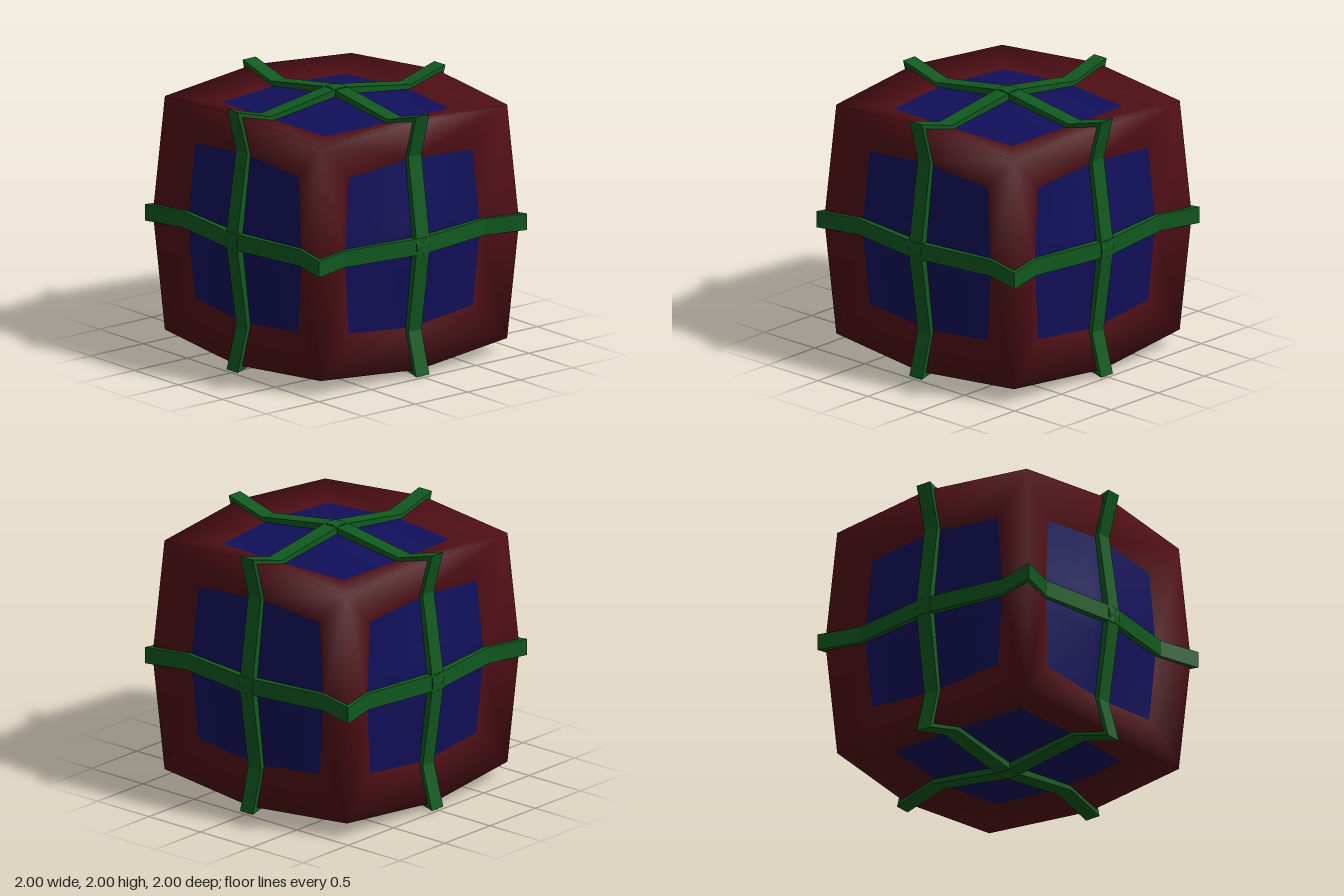
import * as THREE from 'three';
import { mergeGeometries, mergeVertices } from 'three/addons/utils/BufferGeometryUtils.js';

const HALF_PI = Math.PI / 2;

// Patch spanning four corners, bent along the a-c diagonal when n = 1
function patch(a, b, c, d, n) {
  const at = (u, v) => new THREE.Vector3()
    .addScaledVector(a, (1 - u) * (1 - v)).addScaledVector(b, u * (1 - v))
    .addScaledVector(c, u * v).addScaledVector(d, (1 - u) * v);
  const points = [];
  for (let i = 0; i < n; i++) {
    for (let j = 0; j < n; j++) {
      const [u, v, u2, v2] = [i / n, j / n, (i + 1) / n, (j + 1) / n];
      points.push(at(u, v), at(u2, v), at(u2, v2), at(u, v), at(u2, v2), at(u, v2));
    }
  }
  return new THREE.BufferGeometry().setFromPoints(points);
}

// Repeat patches over the four quadrants of a +z face
function fourfold(patches) {
  const all = [];
  for (let i = 0; i < 4; i++) {
    for (const p of patches) all.push(p.clone().rotateZ(i * HALF_PI));
  }
  return mergeGeometries(all);
}

// Repeat a +z face on all six sides and smooth the joins
function sixSides(face) {
  const sides = [];
  for (let i = 0; i < 4; i++) sides.push(face.clone().rotateY(i * HALF_PI));
  sides.push(face.clone().rotateX(HALF_PI), face.clone().rotateX(-HALF_PI));
  const geometry = mergeVertices(mergeGeometries(sides), 1e-3);
  geometry.computeVertexNormals();
  return geometry;
}

// Closed ring outline from one quarter of its profile
function ringPoints(quarter) {
  const points = [];
  for (let i = 0; i < 4; i++) {
    for (const [x, y] of quarter) {
      points.push(new THREE.Vector2(x, y).rotateAround(new THREE.Vector2(), i * HALF_PI));
    }
  }
  return points;
}

export function createModel() {
  const group = new THREE.Group();
  const body = new THREE.Group();
  body.name = 'body';
  body.position.y = 1;
  group.add(body);

  const add = (name, geometry, color) => {
    const mesh = new THREE.Mesh(geometry, new THREE.MeshStandardMaterial({ color }));
    mesh.name = name;
    body.add(mesh);
    return mesh;
  };

  // Key points of one quadrant of a face
  const V = (x, y, z) => new THREE.Vector3(x, y, z);
  const centre = V(0, 0, 0.955);
  const rimX = V(0.645, 0, 0.87), rimY = V(0, 0.645, 0.87), rimCorner = V(0.59, 0.59, 0.85);
  const edgeX = V(0.95, 0, 0.95), edgeY = V(0, 0.95, 0.95), corner = V(0.888, 0.888, 0.888);

  // Bulged panels in the middle of each side
  add('panels', sixSides(fourfold([patch(centre, rimX, rimCorner, rimY, 4)])), 0x11105a);

  // Raised frame along the edges and corners
  add('frame', sixSides(fourfold([
    patch(rimX, edgeX, corner, rimCorner, 1),
    patch(rimY, rimCorner, corner, edgeY, 1),
  ])), 0x4f0f16);

  // Three crossing straps that follow the bulges and peak over the edges
  const outline = new THREE.Shape(ringPoints([[1, 0], [0.9, 0.665], [0.99, 0.99], [0.665, 0.9]]));
  outline.holes.push(new THREE.Path(ringPoints([[0.93, 0], [0.85, 0.65], [0.92, 0.92], [0.65, 0.85]])));
  const strap = new THREE.ExtrudeGeometry(outline, { depth: 0.125, bevelEnabled: false });
  strap.translate(0, 0, -0.0625);
  add('strapAcross', strap, 0x11591f);
  add('strapLengthwise', strap.clone().rotateY(HALF_PI), 0x11591f);
  add('strapAround', strap.clone().rotateX(HALF_PI), 0x11591f);

  return group;
}
